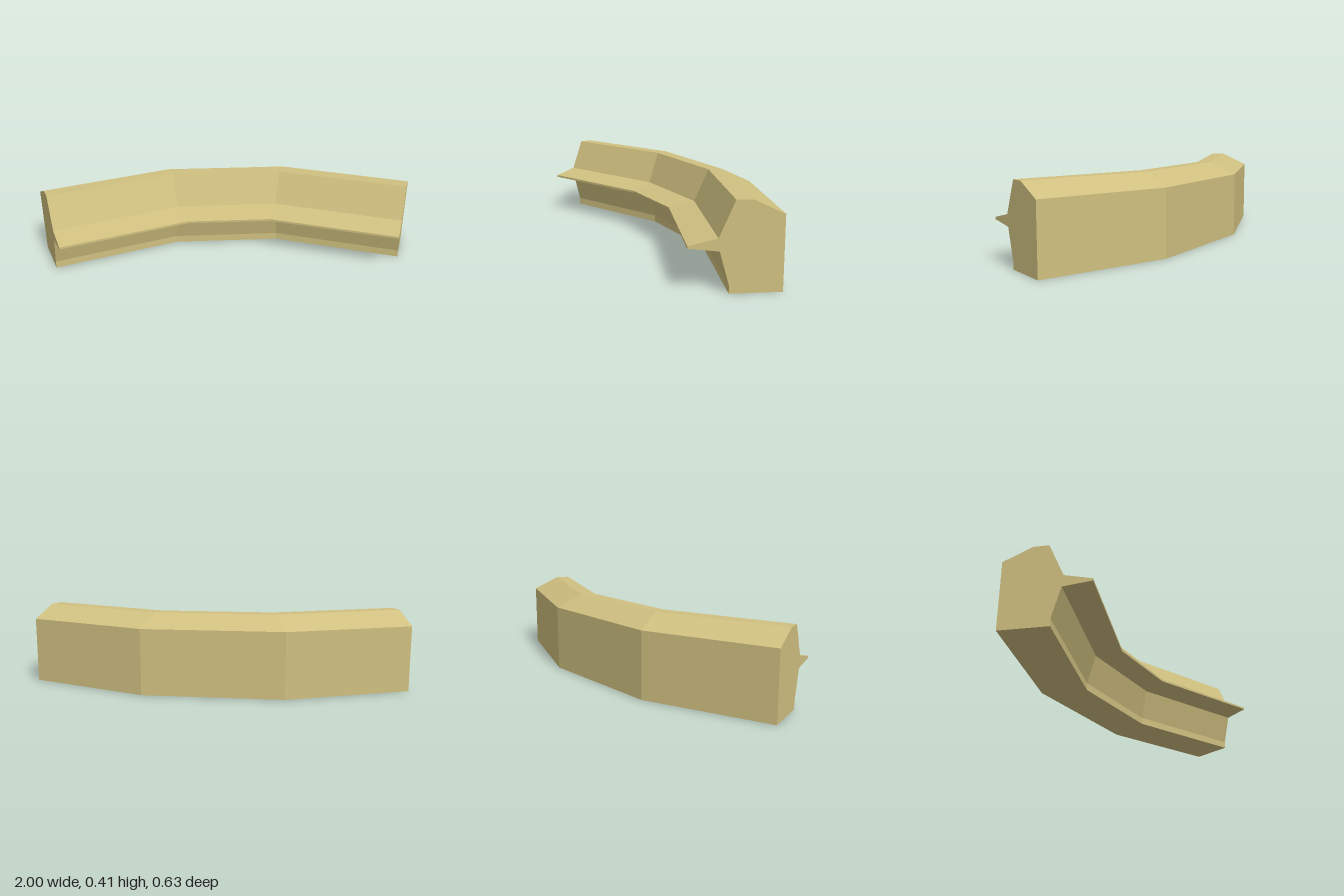
import * as THREE from 'three';

export function createModel() {
  const group = new THREE.Group();
  group.name = 'curvedMoulding';
  const sand = new THREE.MeshStandardMaterial({ color: 0xd0c080 });
  sand.name = 'sand';

  // Cross-section: distance forward from the back face, height
  const profile = [
    [0, 0], [0.22, 0], [0.22, 0.037], [0.259, 0.188], [0.387, 0.204],
    [0.387, 0.215], [0.265, 0.245], [0.198, 0.408], [0.13, 0.408], [0, 0.343],
  ];
  const shape = new THREE.Shape(profile.map(([d, y]) => new THREE.Vector2(d, y)));
  const geometry = new THREE.ExtrudeGeometry(shape, { depth: 3, steps: 3, bevelEnabled: false });

  // Bend the three segments: back corner of each joint, cut slanting inwards to the front
  const joints = [[1, -0.075], [0.365, -0.314], [-0.365, -0.314], [-1, -0.075]];
  const slant = 0.377;
  const pos = geometry.attributes.position;
  for (let i = 0; i < pos.count; i++) {
    const d = pos.getX(i);
    const [x, z] = joints[Math.round(pos.getZ(i))];
    pos.setXYZ(i, x - Math.sign(x) * slant * d, pos.getY(i), z + d);
  }
  geometry.computeVertexNormals();

  const ledge = new THREE.Mesh(geometry, sand);
  ledge.name = 'mouldingWithLip';
  group.add(ledge);
  return group;
}
